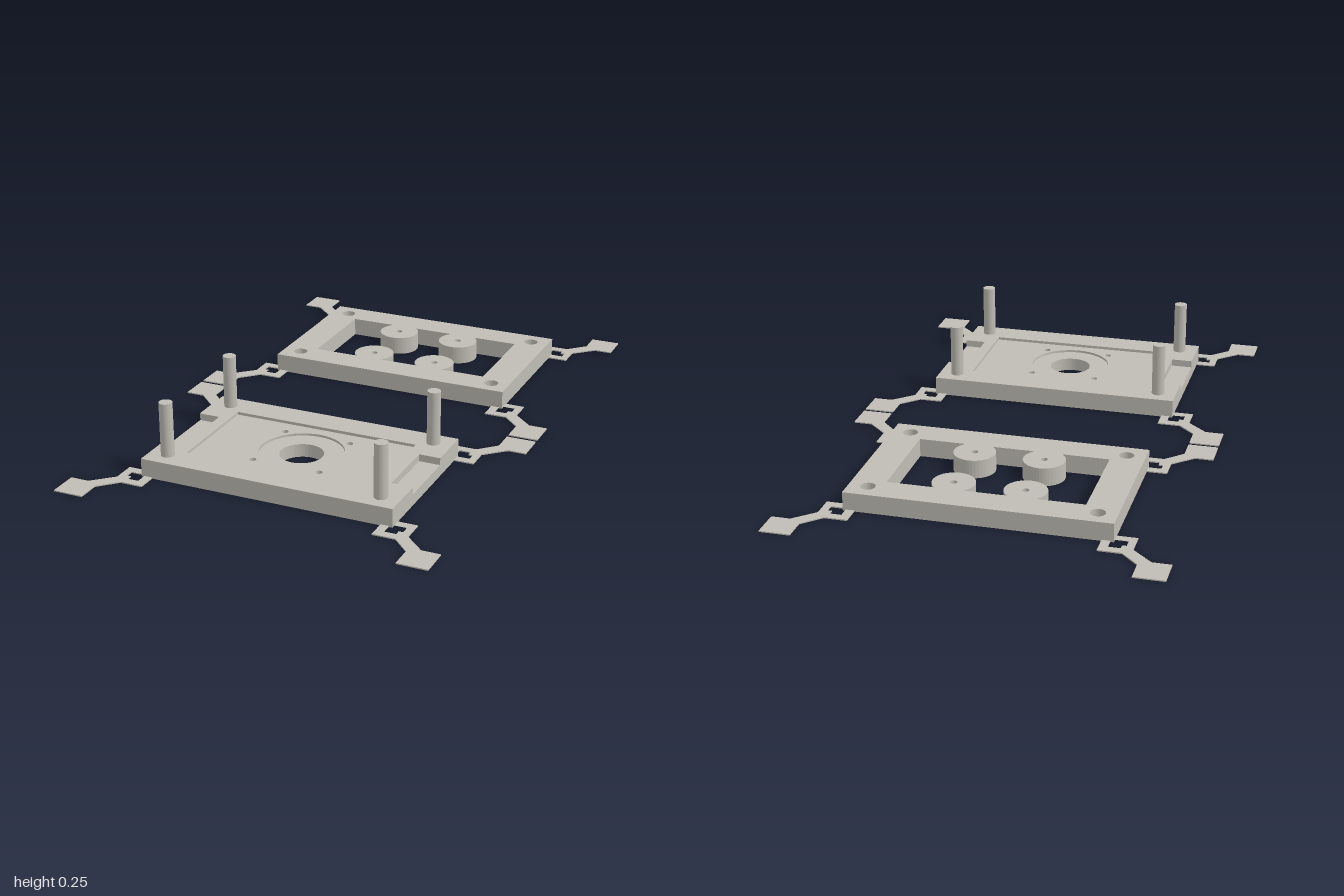
import * as THREE from 'three';

const W = 0.45, D = 0.285, H = 0.065, CZ = 0.504;
const SIGNS = [[1, 1], [-1, 1], [-1, -1], [1, -1]];

export function createModel() {
  const model = new THREE.Group();
  const grey = new THREE.MeshStandardMaterial({ color: 0xbfbdb4 });
  grey.name = 'warm grey';

  const outline = (pts) => new THREE.Shape(pts.map(([x, z]) => new THREE.Vector2(x, z)));
  const rect = (x, z) => outline([[-x, -z], [x, -z], [x, z], [-x, z]]);
  const circle = (x, z, r) => new THREE.Path().absarc(x, z, r, 0, Math.PI * 2, true);
  const fourHoles = (x, z, r) => SIGNS.map(([a, b]) => circle(a * x, b * z, r));

  // Horizontal slab between two heights
  function slab(name, shape, y0, y1, holes, parent) {
    shape.holes.push(...holes);
    const geo = new THREE.ExtrudeGeometry(shape, { depth: y1 - y0, bevelEnabled: false, curveSegments: 20 });
    geo.rotateX(-Math.PI / 2).translate(0, y0, 0);
    const mesh = new THREE.Mesh(geo, grey);
    mesh.name = name;
    parent.add(mesh);
  }

  function cylinder(name, r, h, x, y, z, parent) {
    const mesh = new THREE.Mesh(new THREE.CylinderGeometry(r, r, h, 32), grey);
    mesh.name = name;
    mesh.position.set(x, y + h / 2, z);
    parent.add(mesh);
  }

  // Thin linked corner feet
  function addFeet(parent) {
    for (const [a, b] of SIGNS) {
      const at = (pts) => pts.map(([x, z]) => [a * x, b * z]);
      const ring = outline(at([[0.41, 0.245], [0.52, 0.245], [0.52, 0.325], [0.49, 0.355], [0.41, 0.355]]));
      const gap = outline(at([[0.44, 0.275], [0.495, 0.275], [0.495, 0.305], [0.48, 0.305], [0.48, 0.325], [0.44, 0.325]]));
      slab('cornerLink', ring, 0, 0.004, [gap], parent);
      slab('cornerFoot', outline(at([[0.49, 0.355], [0.52, 0.325], [0.59, 0.391], [0.655, 0.391],
        [0.655, 0.496], [0.55, 0.496], [0.55, 0.415]])), 0, 0.004, [], parent);
    }
  }

  // Front plate: side notches, shallow pocket, centre bore and screw holes
  const base = new THREE.Group();
  base.name = 'basePlate';
  base.position.z = CZ;
  const bore = () => circle(0, 0, 0.075);
  const screws = (r) => fourHoles(0.121, 0.121, r);
  const notched = () => outline([[-W, -D], [W, -D], [W, -0.118], [0.375, -0.118], [0.375, 0.118], [W, 0.118],
    [W, D], [-W, D], [-W, 0.118], [-0.375, 0.118], [-0.375, -0.118], [-W, -0.118]]);
  slab('baseBottom', rect(W, D), 0, 0.02, [bore(), ...screws(0.022)], base);
  slab('baseMiddle', rect(W, D), 0.02, 0.04, [bore(), ...screws(0.012)], base);
  slab('notchedLayer', notched(), 0.04, 0.047, [bore(), ...screws(0.012)], base);
  slab('pocketFloor', notched(), 0.047, 0.055, [circle(0, 0, 0.145), ...screws(0.012)], base);
  slab('pocketRim', notched(), 0.055, H, [rect(0.335, 0.183)], base);
  for (const [a, b] of SIGNS) cylinder('post', 0.023, 0.255 - 0.04, a * 0.384, 0.04, b * 0.222, base);
  addFeet(base);
  model.add(base);

  // Back plate: open frame with blind corner sockets and four bosses
  const frame = new THREE.Group();
  frame.name = 'framePlate';
  frame.position.z = -CZ;
  const windowHole = () => rect(0.335, 0.176);
  slab('frameBottom', rect(W, D), 0, 0.015, [windowHole()], frame);
  slab('frameTop', rect(W, D), 0.015, H, [windowHole(), ...fourHoles(0.384, 0.222, 0.026)], frame);
  for (const [a, b] of SIGNS) {
    const boss = (r) => new THREE.Shape().absarc(a * 0.122, b * 0.122, r, 0, Math.PI * 2, false);
    slab('bossBottom', boss(0.073), 0, 0.02, [circle(a * 0.122, b * 0.122, 0.022)], frame);
    slab('bossTop', boss(0.073), 0.02, H, [circle(a * 0.122, b * 0.122, 0.012)], frame);
  }
  addFeet(frame);
  model.add(frame);

  return model;
}
